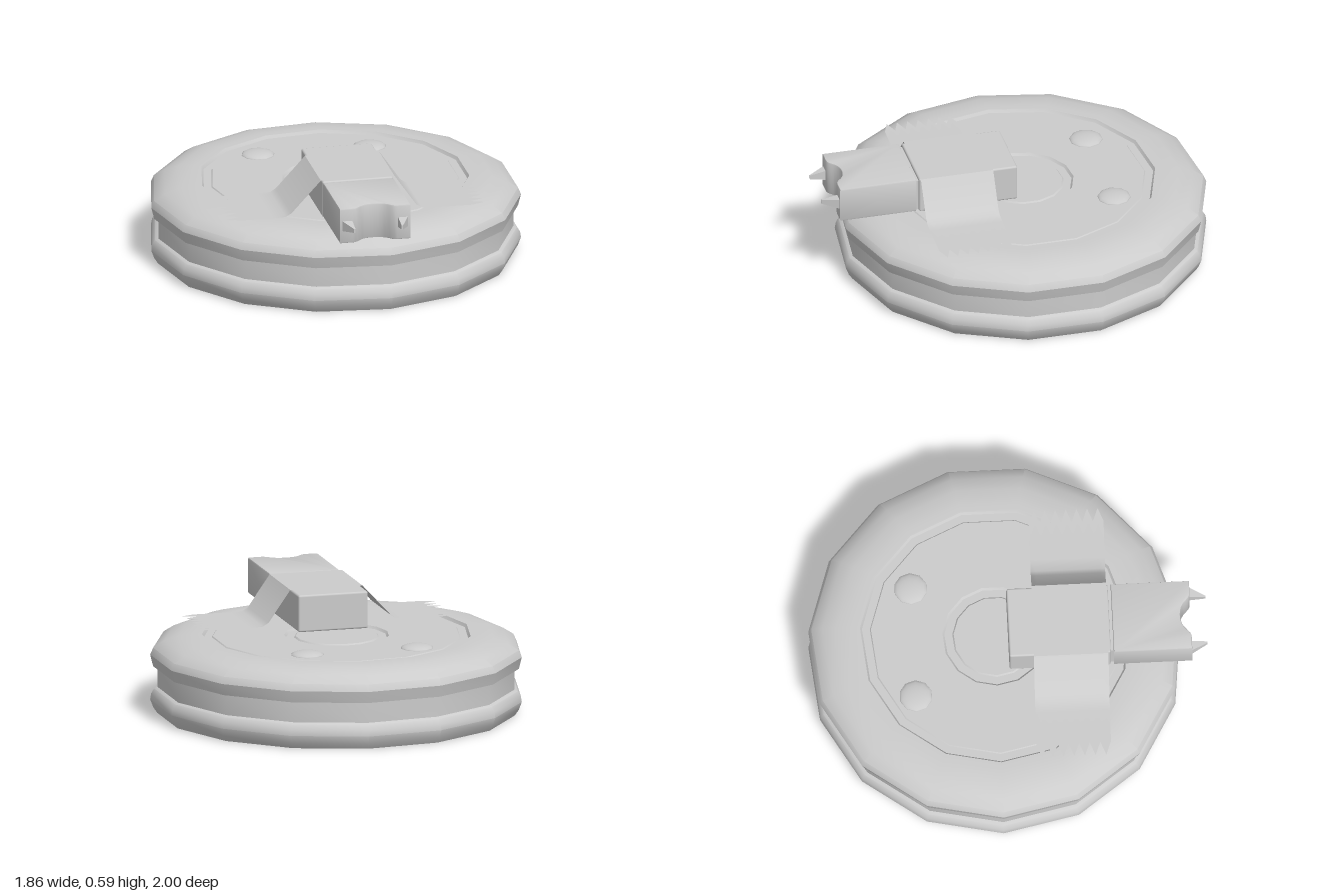
import * as THREE from 'three';
import { toCreasedNormals } from 'three/addons/utils/BufferGeometryUtils.js';
import { RoundedBoxGeometry } from 'three/addons/geometries/RoundedBoxGeometry.js';

const SIDES = 15;
const CX = 0.01, CZ = -0.065; // disc axis

export function createModel() {
  const model = new THREE.Group();
  const grey = new THREE.MeshStandardMaterial({ color: 0xcccccc });
  const thin = new THREE.MeshStandardMaterial({ color: 0xcccccc, side: THREE.DoubleSide });

  const add = (name, geometry, x = 0, y = 0, z = 0, material = grey) => {
    const mesh = new THREE.Mesh(geometry, material);
    mesh.name = name;
    mesh.position.set(x, y, z);
    model.add(mesh);
    return mesh;
  };

  // Grooved disc: two bulging rims, a waist, a sunken top plate and a centre recess
  const profile = [
    [0, 0], [0.905, 0], [0.925, 0.03], [0.94, 0.07], [0.935, 0.1], [0.92, 0.125], [0.903, 0.133],
    [0.903, 0.237], [0.925, 0.24], [0.94, 0.3], [0.925, 0.335], [0.87, 0.37], [0.8, 0.393],
    [0.72, 0.4], [0.68, 0.4], [0.67, 0.385], [0.63, 0.385], [0.625, 0.39],
    [0.265, 0.39], [0.255, 0.378], [0.215, 0.378], [0.208, 0.385], [0, 0.385],
  ].map(([r, y]) => new THREE.Vector2(r, y));
  const disc = new THREE.LatheGeometry(profile, SIDES, -Math.PI / 2);
  add('disc', toCreasedNormals(disc, 0.6), CX, 0, CZ);

  // Two low domed studs
  for (const side of [-1, 1]) {
    const dome = new THREE.SphereGeometry(0.086, 10, 5, 0, Math.PI * 2, 0, Math.PI / 2);
    dome.scale(1, 0.28, 1);
    add(side < 0 ? 'rightStud' : 'leftStud', dome, -0.005 + side * 0.287, 0.387, -0.477);
  }

  // Detonator body and the narrow neck joining it to the front block
  add('rearBlock', new RoundedBoxGeometry(0.364, 0.19, 0.51, 2, 0.01), 0.008, 0.49, 0.255);
  add('neck', new THREE.BoxGeometry(0.335, 0.165, 0.06), 0.008, 0.487, 0.52);

  // Front block with a scooped front, outlined in plan (shape y = -z) and extruded upward
  const b = 0.008;
  const plan = new THREE.Shape();
  plan.moveTo(-0.182 + b, -0.525 - b);
  plan.lineTo(-0.182 + b, -0.92 + b);
  plan.lineTo(-0.115, -0.92 + b);
  plan.bezierCurveTo(-0.08, -0.92 + b, -0.08, -0.867 + b, 0, -0.867 + b);
  plan.bezierCurveTo(0.08, -0.867 + b, 0.08, -0.92 + b, 0.115, -0.92 + b);
  plan.lineTo(0.182 - b, -0.92 + b);
  plan.lineTo(0.182 - b, -0.525 - b);
  plan.closePath();
  const block = new THREE.ExtrudeGeometry(plan, {
    depth: 0.185 - 2 * b, bevelEnabled: true, bevelThickness: b, bevelSize: b, bevelSegments: 2, curveSegments: 8,
  });
  block.rotateX(-Math.PI / 2);
  add('frontBlock', toCreasedNormals(block, 0.6), 0.008, 0.4 + b, 0);

  // Tapered prongs leaning toward the middle
  for (const side of [-1, 1]) {
    const prong = new THREE.BoxGeometry(0.06, 0.06, 0.1);
    const p = prong.attributes.position;
    for (let i = 0; i < p.count; i++) {
      if (p.getZ(i) > 0) {
        p.setX(i, p.getX(i) * 0.12 - side * 0.026);
        p.setY(i, p.getY(i) * 0.35);
      }
    }
    prong.computeVertexNormals();
    add(side < 0 ? 'rightProng' : 'leftProng', prong, 0.008 + side * 0.148, 0.493, 0.95);
  }

  add('tape', makeTape(), 0, 0, 0, thin);
  return model;
}

// Strap draped over the rear block, with saw-toothed ends
function makeTape() {
  const path = [
    [-0.61, 0.404], [-0.42, 0.404], [-0.36, 0.407], [-0.33, 0.425], [-0.18, 0.588],
    [0.197, 0.588], [0.31, 0.425], [0.34, 0.407], [0.4, 0.404], [0.62, 0.404],
  ];
  const rows = 14, cols = path.length;
  const positions = [], index = [];
  for (let r = 0; r <= rows; r++) {
    path.forEach(([x, y], c) => {
      const tooth = r % 2 ? 0.045 : -0.025;
      const end = c === 0 ? -tooth : c === cols - 1 ? tooth : 0;
      // slight skew across the strap
      positions.push(x + end, y, 0.125 + x * 0.015 + (r / rows) * 0.375);
      if (r < rows && c < cols - 1) {
        const a = r * cols + c, d = a + cols;
        index.push(a, d, a + 1, d, d + 1, a + 1);
      }
    });
  }
  const geometry = new THREE.BufferGeometry();
  geometry.setAttribute('position', new THREE.Float32BufferAttribute(positions, 3));
  geometry.setIndex(index);
  return toCreasedNormals(geometry, 0.7);
}
